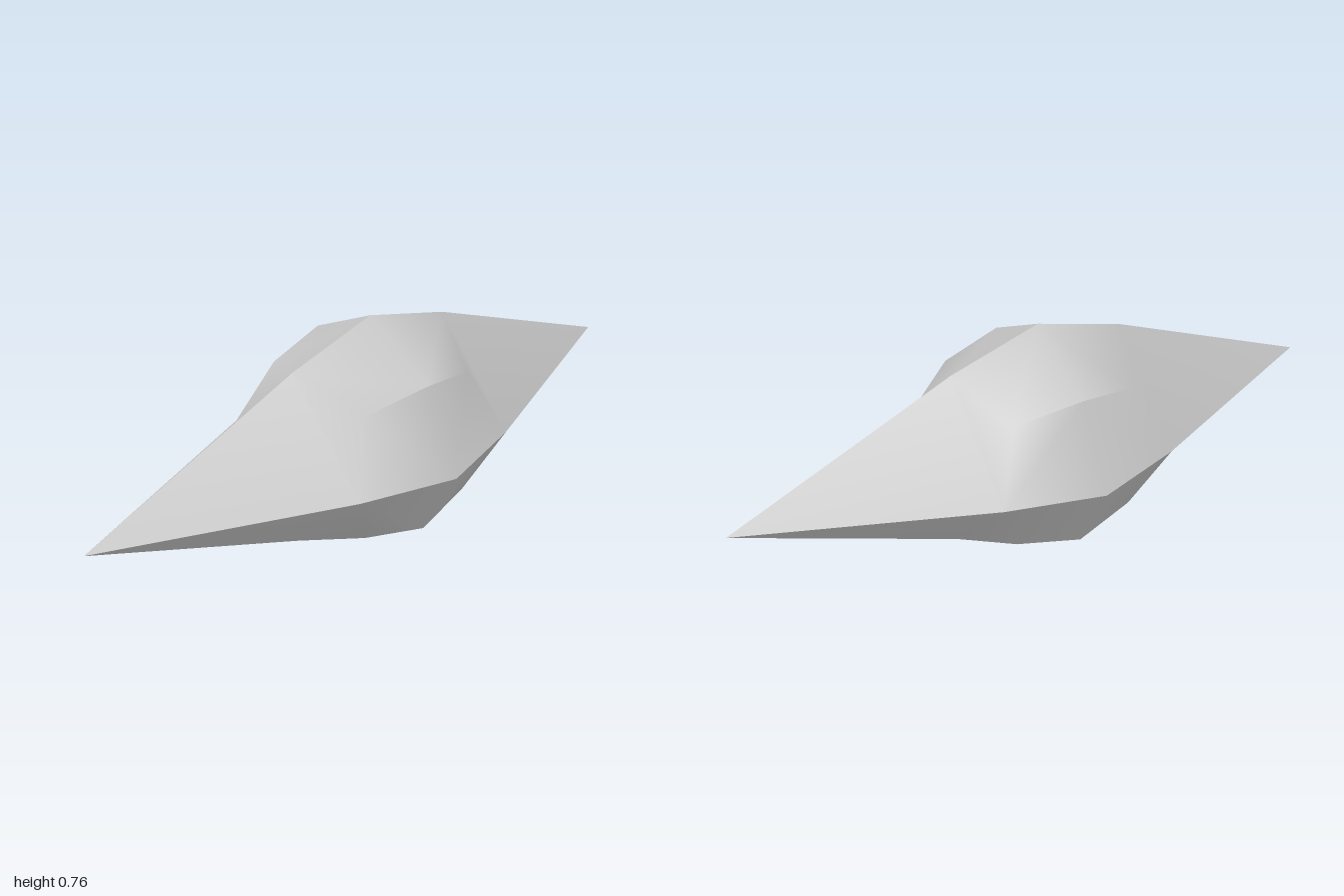
import * as THREE from 'three';

// One quarter of the crystal (+x, +y side, both ends), smooth inside, sharp at its borders
function quarterGeometry() {
  const points = [];
  const add = (x, y, z) => points.push(x, y, z) / 3 - 1;

  // Waist corners; the diagonal one is doubled to keep its edge sharp
  const side = add(0.38, 0, 0);
  const top = add(0, 0.38, 0);
  const waistSide = add(0.248, 0.248, 0);
  const waistTop = add(0.248, 0.248, 0);

  const index = [];
  for (const s of [1, -1]) {
    const tip = add(0, 0, s);
    const ridgeSide = add(0.295, 0, 0.29 * s);
    const ridgeTop = add(0, 0.295, 0.29 * s);
    const shoulder = add(0.21, 0.21, 0.2 * s);
    const faces = [
      [tip, ridgeSide, ridgeTop],
      [ridgeSide, shoulder, ridgeTop],
      [side, waistSide, shoulder],
      [side, shoulder, ridgeSide],
      [waistTop, top, ridgeTop],
      [waistTop, ridgeTop, shoulder],
    ];
    // The back half is mirrored, so its corners run the other way
    for (const [a, b, c] of faces) index.push(...(s > 0 ? [a, b, c] : [a, c, b]));
  }

  const geometry = new THREE.BufferGeometry();
  geometry.setAttribute('position', new THREE.Float32BufferAttribute(points, 3));
  geometry.setIndex(index);
  geometry.computeVertexNormals();
  return geometry;
}

export function createModel() {
  const model = new THREE.Group();
  model.name = 'crystal';

  const stone = new THREE.MeshStandardMaterial({ color: 0xcccccc });
  stone.name = 'pale grey';

  // Four equal quarters turned around the long axis
  const geometry = quarterGeometry();
  ['upperLeft', 'upperRight', 'lowerRight', 'lowerLeft'].forEach((name, i) => {
    const quarter = new THREE.Mesh(geometry, stone);
    quarter.name = name + 'Quarter';
    quarter.rotation.z = (i * Math.PI) / 2;
    quarter.position.y = 0.38;
    model.add(quarter);
  });

  return model;
}
